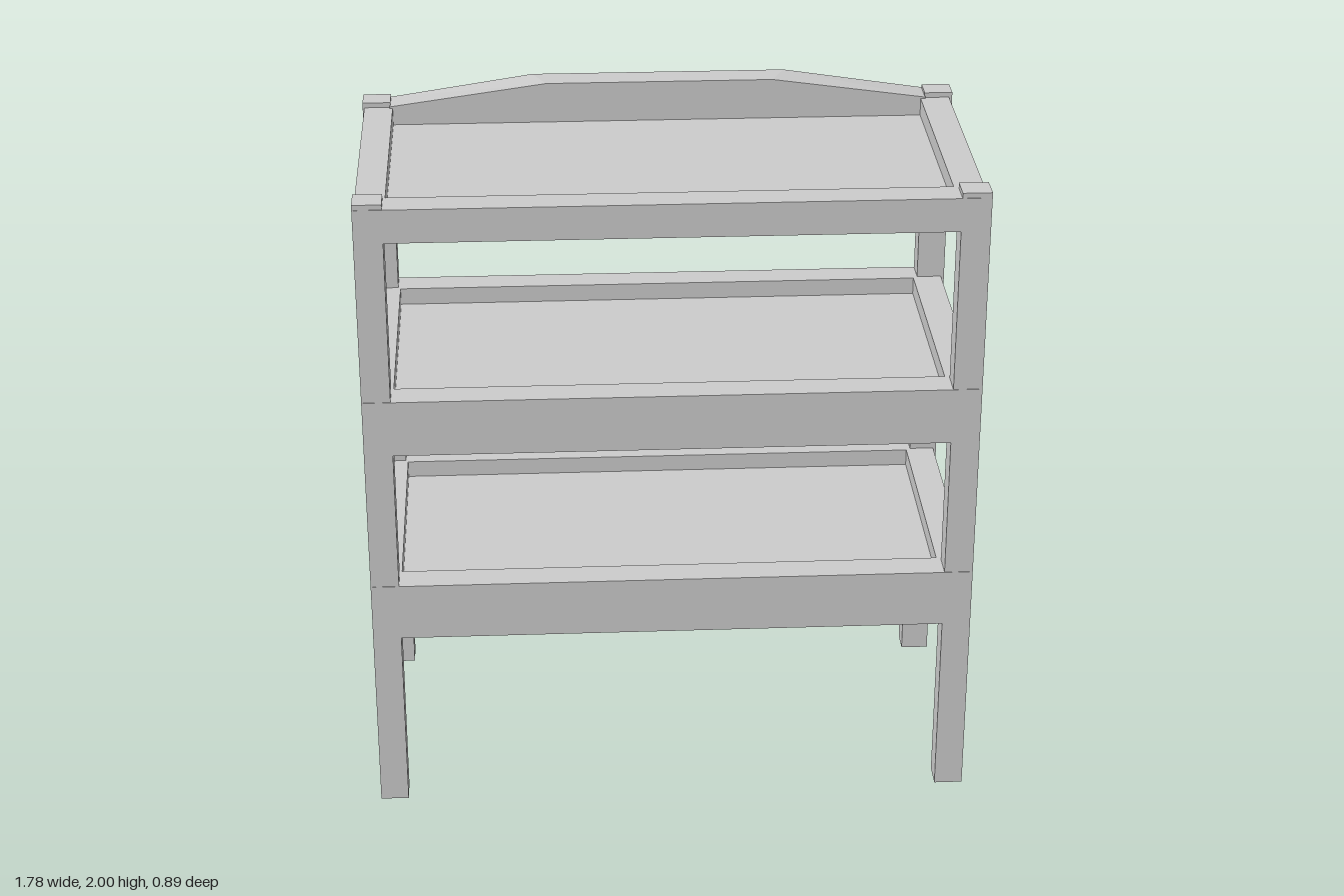
import * as THREE from 'three';

export function createModel() {
  const model = new THREE.Group();
  const material = new THREE.MeshStandardMaterial({ color: 0xcccccc, flatShading: true });

  function add(name, geometry, x = 0, y = 0, z = 0) {
    const mesh = new THREE.Mesh(geometry, material);
    mesh.name = name;
    mesh.position.set(x, y, z);
    model.add(mesh);
  }

  // box given by its extents
  function box(name, x0, x1, y0, y1, z0, z1) {
    add(name, new THREE.BoxGeometry(x1 - x0, y1 - y0, z1 - z0),
      (x0 + x1) / 2, (y0 + y1) / 2, (z0 + z1) / 2);
  }

  // four corner posts
  for (const [side, x0, x1] of [['Right', -0.89, -0.807], ['Left', 0.803, 0.887]]) {
    box('front' + side + 'Post', x0, x1, 0, 1.945, 0.362, 0.441);
    box('back' + side + 'Post', x0, x1, 0, 1.945, -0.443, -0.368);
  }

  // rectangle outline, used for the rim and its opening
  function rectangle(Type, x0, x1, z0, z1) {
    return new Type([[x0, z0], [x1, z0], [x1, z1], [x0, z1]].map(p => new THREE.Vector2(...p)));
  }

  // three trays: a rim frame around a recessed floor
  const trays = [['lower', 0.565, 0.74], ['middle', 1.17, 1.34], ['upper', 1.83, 1.93]];
  for (const [level, bottom, top] of trays) {
    const outline = rectangle(THREE.Shape, -0.885, 0.877, -0.443, 0.445);
    outline.holes.push(rectangle(THREE.Path, -0.8, 0.79, -0.352, 0.358));
    const rim = new THREE.ExtrudeGeometry(outline, { depth: top - bottom, bevelEnabled: false });
    rim.rotateX(-Math.PI / 2);
    rim.scale(1, 1, 1);
    add(level + 'TrayRim', rim, 0, bottom, 0);
    box(level + 'TrayFloor', -0.8, 0.79, bottom, top - 0.052, -0.358, 0.352);
  }

  // raised back panel on the upper tray, its flat top a little wider at the back
  const profile = new THREE.Shape(
    [[-0.81, 1.9], [0.805, 1.9], [0.805, 1.935], [0.36, 2], [-0.36, 2], [-0.81, 1.935]]
      .map(p => new THREE.Vector2(...p)));
  const arch = new THREE.ExtrudeGeometry(profile, { depth: 0.087, bevelEnabled: false });
  const p = arch.attributes.position;
  for (let i = 0; i < p.count; i++) {
    if (Math.abs(p.getX(i)) < 0.5) p.setX(i, Math.sign(p.getX(i)) * (p.getZ(i) > 0.04 ? 0.34 : 0.38));
  }
  arch.computeVertexNormals();
  add('archedBackPanel', arch, 0, 0, -0.445);

  return model;
}
